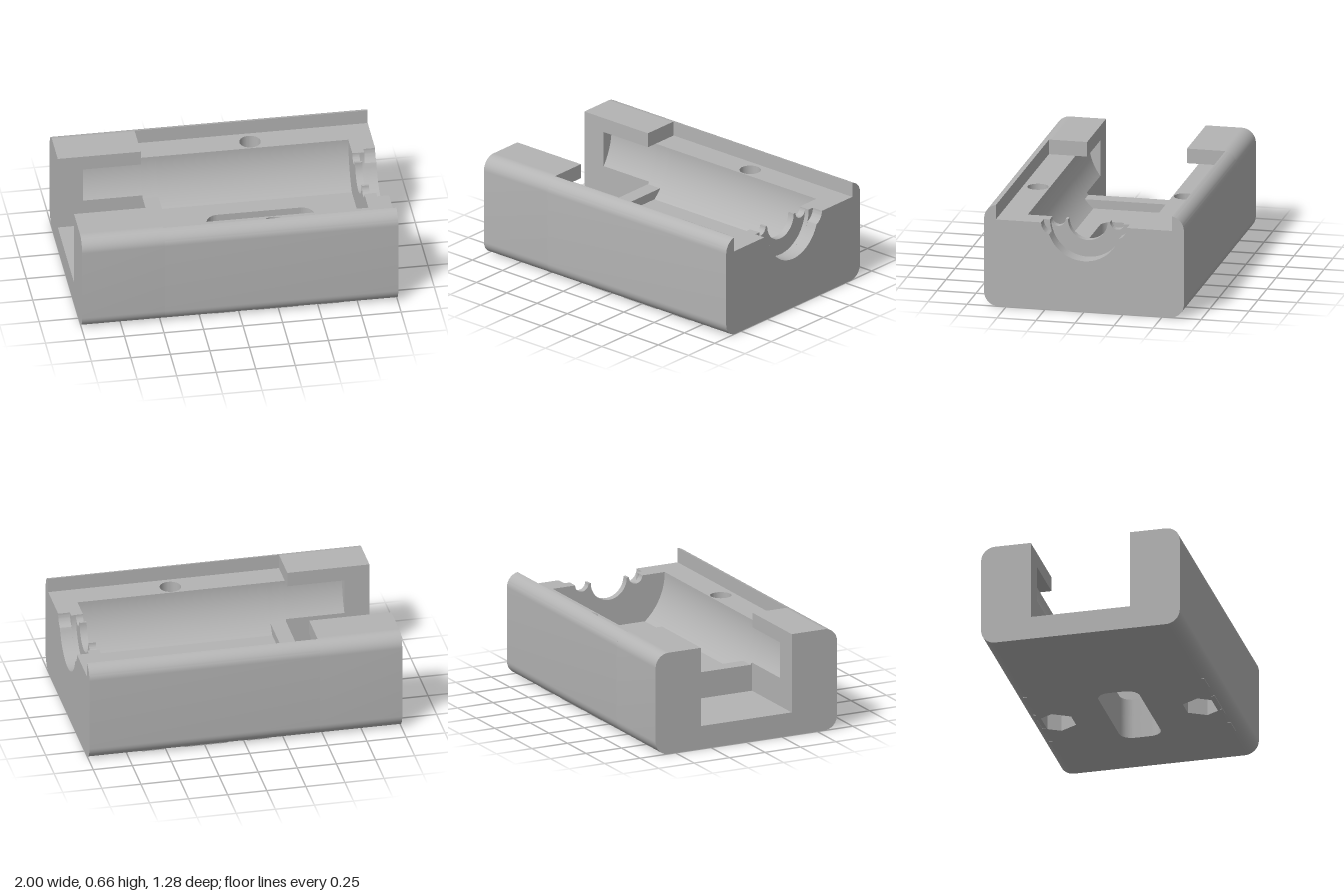
import * as THREE from 'three';
import { toCreasedNormals } from 'three/addons/utils/BufferGeometryUtils.js';

const LEDGE = 0.565, TOP = 0.66, FLOOR = 0.15, BORE = 0.395, CORNER = 0.09;

export function createModel() {
  const grey = new THREE.MeshStandardMaterial({ color: 0xb4b4b4 });
  grey.name = 'grey';
  const model = new THREE.Group();
  model.name = 'housing';

  const add = (name, geometry) => {
    const mesh = new THREE.Mesh(toCreasedNormals(geometry, 0.5), grey);
    mesh.name = name;
    model.add(mesh);
  };
  const v = (x, y) => new THREE.Vector2(x, y);

  // Cross-section of [z, y] points swept from x0 to x1; side -1 mirrors it
  const sweep = (name, pts, x0, x1, side = 1) => {
    const shape = new THREE.Shape(pts.map(([z, y]) => v(-z * side, y)));
    const g = new THREE.ExtrudeGeometry(shape, { depth: x1 - x0, bevelEnabled: false });
    add(name, g.rotateY(Math.PI / 2).translate(x0, 0, 0));
  };
  // Plan of [x, z] points raised from y0 to y1
  const raise = (name, pts, holes, y0, y1) => {
    const shape = new THREE.Shape(pts.map(([x, z]) => v(x, -z)));
    shape.holes = holes;
    const g = new THREE.ExtrudeGeometry(shape, { depth: y1 - y0, bevelEnabled: false, curveSegments: 24 });
    add(name, g.rotateX(-Math.PI / 2).translate(0, y0, 0));
  };
  const rect = (a0, a1, b0, b1) => [[a0, b0], [a1, b0], [a1, b1], [a0, b1]];
  const arc = (cz, cy, r, from, to, n = 16) => Array.from({ length: n + 1 }, (_, i) => {
    const t = from + (to - from) * i / n;
    return [cz + r * Math.cos(t), cy + r * Math.sin(t)];
  });
  // Bore wall from the ledge down to half-width z
  const boreWall = (z) => arc(0, LEDGE, BORE, 0, -Math.acos(z / BORE), 20);
  const boreY = (z) => LEDGE - Math.sqrt(BORE * BORE - z * z);

  // Holes in plan
  const slot = () => {
    const p = new THREE.Path(), r = 0.08, x0 = -0.1, x1 = 0.58, z = 0.133;
    p.absarc(x1 - r, z - r, r, 0, Math.PI / 2);
    p.absarc(x0 + r, z - r, r, Math.PI / 2, Math.PI);
    p.absarc(x0 + r, -z + r, r, Math.PI, Math.PI * 1.5);
    p.absarc(x1 - r, -z + r, r, Math.PI * 1.5, Math.PI * 2);
    p.closePath();
    return p;
  };
  const hexagon = (z) => new THREE.Path(arc(0.24, z, 0.127, 0, Math.PI * 5 / 3, 5).map(([a, b]) => v(a, b)));
  const boltHole = (z) => new THREE.Path().absarc(0.24, z, 0.067, 0, Math.PI * 2);

  // Base plate with nut pockets, slot and slim tabs along its long edges
  const edge = [[-1, 0.55]];
  for (const [c, w] of [[-0.09, 0.07], [0.24, 0.135], [0.58, 0.07]])
    edge.push([c - w, 0.55], [c - w, 0.583], [c + w, 0.583], [c + w, 0.55]);
  edge.push([1, 0.55]);
  raise('basePlate', [...edge, ...edge.map(([x, z]) => [x, -z]).reverse()],
    [hexagon(0.47), hexagon(-0.47), slot()], 0, FLOOR);

  // Bore floor with the same slot
  raise('boreFloor', rect(-0.365, 0.85, -0.255, 0.255), [slot()], FLOOR, boreY(0.255));

  for (const s of [1, -1]) {
    const side = s > 0 ? 'front' : 'back';
    // Rounded outer wall, full height at the closed end, thin lip along the ledge
    const outer = [
      [0.55, 0],
      ...arc(0.55, CORNER, CORNER, -Math.PI / 2, 0),
      ...arc(0.55, TOP - CORNER, CORNER, 0, Math.PI / 2),
    ];
    sweep(side + 'OuterWall', outer, -1, -0.475, s);
    const lipAngle = Math.acos(0.015 / CORNER);
    sweep(side + 'LipWall', [
      [0.55, 0],
      ...arc(0.55, CORNER, CORNER, -Math.PI / 2, 0),
      ...arc(0.55, TOP - CORNER, CORNER, 0, lipAngle),
      [0.565, LEDGE], [0.55, LEDGE],
    ], -0.475, 1, s);

    // Ledge with a bolt hole, and the raised block at its end
    const ledge = rect(-1, 1, BORE, 0.55).map(([x, z]) => [x, z * s]);
    raise(side + 'Ledge', ledge, [boltHole(-0.47 * s)], FLOOR, LEDGE);
    sweep(side + 'RaisedBlock', rect(0.32, 0.55, LEDGE, TOP), -1, -0.475, s);
    sweep(side + 'BlockCorner', rect(0.55, 0.565, LEDGE, TOP - 0.002), -0.5, -0.475, s);

    // Channel wall, then the same wall hollowed by the bore
    sweep(side + 'ChannelWall', rect(0.32, BORE, FLOOR, LEDGE), -1, -0.84, s);
    sweep(side + 'ChannelBoreWall', [[0.32, FLOOR], [BORE, FLOOR], ...boreWall(0.32)], -0.84, -0.465, s);
    sweep(side + 'BoreWall', [[0.255, FLOOR], [BORE, FLOOR], ...boreWall(0.255)], -0.365, 0.85, s);
  }

  // Low rib between the channel and the bore
  const ribSide = boreWall(0.31);
  sweep('rib', [[-BORE, FLOOR], [BORE, FLOOR], ...ribSide,
    ...ribSide.map(([z, y]) => [-z, y]).reverse()], -0.465, -0.365);

  // End wall: each slice is notched by circles [centre z, radius] on the ledge line
  const endWall = (name, circles, x0, x1) => {
    const zs = circles.flatMap(([c, r]) => arc(c, 0, r, 0, Math.PI, 32).map((p) => p[0]))
      .sort((a, b) => a - b)
      .filter((z, i, all) => i === 0 || z - all[i - 1] > 1e-5);
    const depth = (z) => Math.max(...circles.map(([c, r]) => Math.sqrt(Math.max(0, r * r - (z - c) ** 2))));
    sweep(name, [[BORE, LEDGE], [BORE, FLOOR], [-BORE, FLOOR], [-BORE, LEDGE],
      ...zs.map((z) => [z, LEDGE - depth(z)])], x0, x1);
  };
  endWall('innerCollar', [[0, 0.127], [0.19, 0.047], [-0.19, 0.047]], 0.85, 0.895);
  endWall('endSeat', [[0, 0.235]], 0.895, 0.925);
  endWall('endFace', [[0, 0.235], [0.195, 0.08], [-0.195, 0.08]], 0.925, 1);

  return model;
}
